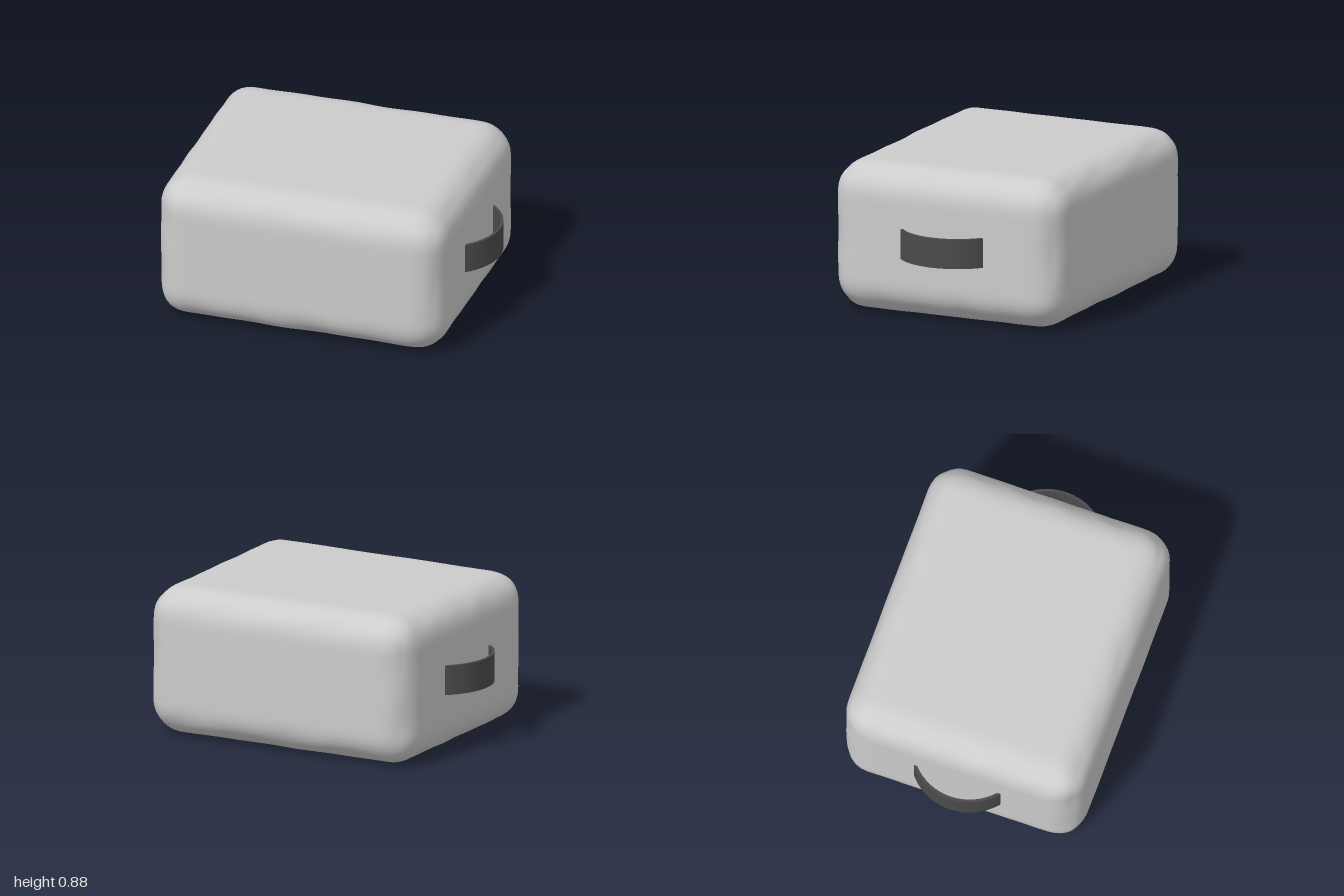
import * as THREE from 'three';
import { mergeVertices } from 'three/addons/utils/BufferGeometryUtils.js';

// Soft padded block: box vertices pulled onto rounded edges with faint puckering
function cushionGeometry(w, h, d, radius) {
  let geo = new THREE.BoxGeometry(w, h, d, 48, 28, 42);
  geo.deleteAttribute('normal');
  geo.deleteAttribute('uv');
  geo = mergeVertices(geo);
  const pos = geo.attributes.position;
  const inner = new THREE.Vector3(w / 2 - radius, h / 2 - radius, d / 2 - radius);
  const low = inner.clone().negate();
  const p = new THREE.Vector3(), core = new THREE.Vector3(), power = 2.3;
  for (let i = 0; i < pos.count; i++) {
    p.fromBufferAttribute(pos, i);
    core.copy(p).clamp(low, inner);
    const out = p.clone().sub(core);
    const length = [out.x, out.y, out.z].reduce((s, v) => s + Math.abs(v) ** power, 0) ** (1 / power);
    // edge = 0 on flat faces, rising to 1 along the rounded edges
    const sorted = out.toArray().map(Math.abs).sort((a, b) => b - a);
    const edge = sorted[1] / radius;
    const wave = Math.sin(p.x * 17 + p.z * 5) * Math.sin(p.z * 19 - p.y * 7 + 1) + Math.sin(p.y * 15 + p.x * 9);
    const pucker = 0.006 * edge * (1 + 0.5 * wave);
    out.multiplyScalar((radius - pucker) / length);
    p.copy(core).add(out);
    pos.setXYZ(i, p.x, p.y, p.z);
  }
  geo.computeVertexNormals();
  return geo;
}

// Bowed strap: an arc band extruded to the strap width
function strapGeometry(radius, thickness, angle, width) {
  const shape = new THREE.Shape();
  shape.absarc(0, 0, radius, -angle, angle, false);
  shape.absarc(0, 0, radius - thickness, angle, -angle, true);
  shape.closePath();
  const geo = new THREE.ExtrudeGeometry(shape, { depth: width, bevelEnabled: false, curveSegments: 24 });
  geo.translate(0, 0, -width / 2);
  geo.rotateX(-Math.PI / 2);
  return geo;
}

export function createModel() {
  const model = new THREE.Group();
  model.name = 'cushion';
  const fabric = new THREE.MeshStandardMaterial({ color: 0xcccccc });
  fabric.name = 'light grey fabric';
  const webbing = new THREE.MeshStandardMaterial({ color: 0x4b4b4b });
  webbing.name = 'dark grey webbing';

  const body = new THREE.Mesh(cushionGeometry(1.745, 0.88, 1.47, 0.2), fabric);
  body.name = 'body';
  body.position.y = 0.44;
  model.add(body);

  // One strap handle on each side
  const strap = strapGeometry(0.34, 0.016, 0.95, 0.175);
  for (const side of [1, -1]) {
    const handle = new THREE.Mesh(strap, webbing);
    handle.name = side > 0 ? 'leftHandle' : 'rightHandle';
    handle.position.set(side * 0.66, 0.443, 0);
    handle.rotation.y = side > 0 ? 0 : Math.PI;
    model.add(handle);
  }
  return model;
}
